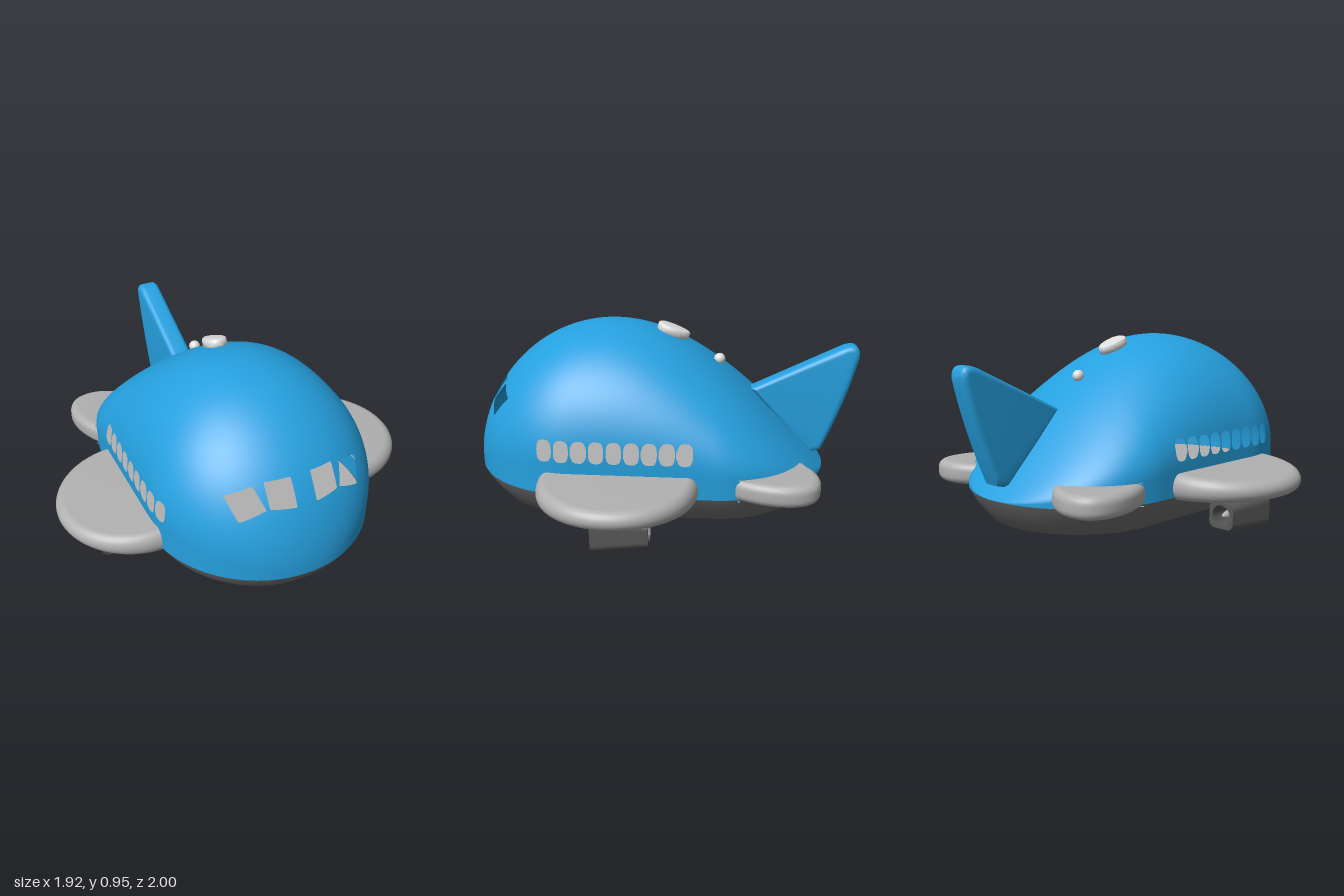
import * as THREE from 'three';
import { mergeVertices, toCreasedNormals } from 'three/addons/utils/BufferGeometryUtils.js';

const mat = (name, color, side = THREE.FrontSide) => {
  const m = new THREE.MeshStandardMaterial({ color, side });
  m.name = name;
  return m;
};
const V2 = (p) => new THREE.Vector2(p[0], p[1]);

// Front windows as convex outlines in x, y (one side, mirrored by |x|)
const cockpitPanes = [
  [[0.05, 0.545], [0.175, 0.555], [0.175, 0.662], [0.05, 0.667]],
  [[0.19, 0.555], [0.312, 0.505], [0.348, 0.61], [0.225, 0.65]],
];

// Positive on the skin, negative inside a window opening
function skin([px, y, z]) {
  const x = Math.abs(px);
  let f = 1;
  if (z > 0.5) {
    for (const pane of cockpitPanes) {
      let d = -1;
      pane.forEach((a, i) => {
        const b = pane[(i + 1) % 4], ex = b[0] - a[0], ey = b[1] - a[1];
        d = Math.max(d, (ey * (x - a[0]) - ex * (y - a[1])) / Math.hypot(ex, ey));
      });
      f = Math.min(f, d);
    }
  }
  if (x > 0.35 && y < 0.6) {
    for (let k = 0; k < 9; k++) {
      const a = Math.abs(z - 0.545 + k * 0.085) / 0.037, b = Math.abs(y - 0.422) / 0.054;
      f = Math.min(f, (Math.cbrt(a ** 3 + b ** 3) - 1) * 0.037);
    }
  }
  return f;
}

// Point on the hull: u runs nose to tail, v runs right to left over the roof
function hullPoint(u, v) {
  const z = 0.08 + 0.92 * Math.cos(Math.PI * u);
  const e = Math.max(0, Math.abs(z - 0.08) - 0.34);
  const w = Math.sqrt(Math.max(0, 0.58 ** 2 - e * e));
  const h = 0.75 * (z > 0.28
    ? Math.sqrt(Math.max(0, 1 - ((z - 0.28) / 0.72) ** 2))
    : Math.cos((Math.PI / 2) * (0.28 - z) / 1.12));
  const leg = h * 0.227, s = 1 - Math.abs(v);
  if (s < 0.2) return [Math.sign(v) * w, 0.2 + leg * s / 0.2, z];
  const th = (s - 0.2) / 0.8 * Math.PI / 2;
  return [Math.sign(v) * w * Math.cos(th), 0.2 + leg + (h - leg) * Math.sin(th), z];
}

// Hull grid with the window openings clipped out
function hullGeometry(nu = 240, nv = 140) {
  const pos = [];
  const clip = (tri) => {
    const out = [];
    tri.forEach((a, i) => {
      const b = tri[(i + 1) % 3];
      if (a.f >= 0) out.push(a.p);
      if ((a.f >= 0) !== (b.f >= 0)) {
        const t = a.f / (a.f - b.f);
        out.push(a.p.map((c, k) => c + (b.p[k] - c) * t));
      }
    });
    for (let i = 1; i + 1 < out.length; i++) pos.push(...out[0], ...out[i], ...out[i + 1]);
  };
  const grid = [];
  for (let i = 0; i <= nu; i++) {
    grid.push([]);
    for (let j = 0; j <= nv; j++) {
      const p = hullPoint(i / nu, (2 * j) / nv - 1);
      grid[i].push({ p, f: skin(p) });
    }
  }
  for (let i = 0; i < nu; i++) {
    for (let j = 0; j < nv; j++) {
      const a = grid[i][j], b = grid[i][j + 1], c = grid[i + 1][j], d = grid[i + 1][j + 1];
      clip([a, b, c]);
      clip([b, d, c]);
    }
  }
  const g = new THREE.BufferGeometry();
  g.setAttribute('position', new THREE.Float32BufferAttribute(pos, 3));
  const merged = mergeVertices(g, 1e-5);
  merged.computeVertexNormals();
  return merged;
}

// Turned profile pulled apart along z into a stadium outline
function stadium(points) {
  const g = new THREE.LatheGeometry(points.map(V2), 96);
  const p = g.attributes.position;
  for (let i = 0; i < p.count; i++) {
    const z = p.getZ(i);
    p.setZ(i, z + 0.08 + (Math.abs(z) < 1e-6 ? 0 : Math.sign(z) * 0.34));
  }
  return g;
}

// Rounded slab extruded about its middle plane
function slab(shape, thickness, bevel) {
  const g = new THREE.ExtrudeGeometry(shape, {
    depth: thickness - 2 * bevel, bevelThickness: bevel, bevelSize: bevel,
    bevelOffset: -bevel, bevelSegments: 6, curveSegments: 16,
  });
  g.translate(0, 0, bevel - thickness / 2);
  return toCreasedNormals(g, 0.7);
}

// Half disc wing, thinner toward the tip
function wingGeometry() {
  const pts = [[0, -0.066]];
  for (let i = 0; i <= 12; i++) {
    const a = -Math.PI / 2 + (Math.PI * i) / 12;
    pts.push([0.34 + 0.05 * Math.cos(a), 0.066 * Math.sin(a)]);
  }
  pts.push([0, 0.066]);
  const g = new THREE.LatheGeometry(pts.map(V2), 48, 0, Math.PI);
  const p = g.attributes.position;
  for (let i = 0; i < p.count; i++) p.setY(i, p.getY(i) * (1 - 0.8 * p.getX(i)));
  g.computeVertexNormals();
  return g;
}

// Square rounded tube, its outside narrowing toward the rear
function engineGeometry() {
  const w = 0.095, h = 0.085, r = 0.045, s = new THREE.Shape();
  s.absarc(w - r, h - r, r, 0, Math.PI / 2);
  s.absarc(r - w, h - r, r, Math.PI / 2, Math.PI);
  s.absarc(r - w, r - h, r, Math.PI, Math.PI * 1.5);
  s.absarc(w - r, r - h, r, Math.PI * 1.5, Math.PI * 2);
  s.closePath();
  s.holes.push(new THREE.Path().absarc(0, 0, 0.053, 0, Math.PI * 2, true));
  const g = new THREE.ExtrudeGeometry(s, { depth: 0.27, bevelEnabled: false, curveSegments: 16 });
  const p = g.attributes.position;
  for (let i = 0; i < p.count; i++) {
    const x = p.getX(i), y = p.getY(i);
    const k = Math.hypot(x, y) < 0.06 ? 1 : 1 - 0.25 * (1 - p.getZ(i) / 0.27);
    p.setXY(i, x * k, y * k);
  }
  g.translate(0, 0, -0.135);
  return toCreasedNormals(g, 0.7);
}

export function createModel() {
  const blue = mat('hull blue', 0x25a0df, THREE.DoubleSide);
  const grey = mat('wing grey', 0xb0b0b0);
  const dark = mat('belly grey', 0x6e6e6e);
  const charcoal = mat('engine charcoal', 0x585858);
  const pale = mat('antenna grey', 0xdedede);
  const model = new THREE.Group();
  const add = (name, geo, material, x = 0, y = 0, z = 0) => {
    const m = new THREE.Mesh(geo, material);
    m.name = name;
    m.position.set(x, y, z);
    model.add(m);
    return m;
  };

  // Body
  add('hull', hullGeometry(), blue);
  add('belly', stadium([[0.473, 0.05], [0.505, 0.085], [0.537, 0.125], [0.565, 0.17], [0.58, 0.2]]), dark);
  add('bellyBottom', stadium([[0, 0.05], [0.473, 0.05]]), dark);
  add('cabinFloor', stadium([[0.578, 0.2], [0, 0.2]]), grey);

  // Tail fin
  const fin = new THREE.Shape();
  fin.moveTo(-0.45, 0.6);
  fin.lineTo(-0.9, 0.82);
  fin.quadraticCurveTo(-1.0, 0.87, -1.0, 0.78);
  fin.quadraticCurveTo(-0.95, 0.55, -0.83, 0.27);
  fin.lineTo(-0.76, 0.25);
  fin.closePath();
  add('tailFin', slab(fin, 0.12, 0.03).rotateY(-Math.PI / 2), blue);

  // Roof antennas
  const egg = new THREE.Shape();
  egg.moveTo(0, 0.09);
  egg.bezierCurveTo(0.075, 0.09, 0.07, -0.03, 0.025, -0.075);
  egg.quadraticCurveTo(0, -0.095, -0.025, -0.075);
  egg.bezierCurveTo(-0.07, -0.03, -0.075, 0.09, 0, 0.09);
  const plate = add('roofAntenna', slab(egg, 0.045, 0.012).rotateX(Math.PI / 2), pale, 0, 0.895, -0.04);
  plate.rotation.x = -0.36;
  add('roofBeacon', new THREE.SphereGeometry(0.03, 24, 16), pale, 0, 0.748, -0.28);

  for (const s of [1, -1]) {
    const side = s > 0 ? 'left' : 'right';
    // Wing
    const wing = add(side + 'Wing', wingGeometry(), grey, s * 0.57, 0.247, 0.19);
    if (s < 0) wing.rotation.y = Math.PI;

    // Tailplane
    const t = new THREE.Shape();
    t.moveTo(s * 0.28, -0.69);
    t.bezierCurveTo(s * 0.36, -0.77, s * 0.46, -0.81, s * 0.56, -0.77);
    t.bezierCurveTo(s * 0.68, -0.71, s * 0.66, -0.5, s * 0.55, -0.35);
    t.quadraticCurveTo(s * 0.47, -0.57, s * 0.28, -0.69);
    add(side + 'Tailplane', slab(t, 0.11, 0.04).rotateX(Math.PI / 2), grey, 0, 0.247, 0);

    // Engine, spinner and pylon
    const engine = add(side + 'Engine', engineGeometry(), charcoal, s * 0.695, 0.088, 0.158);
    engine.rotation.x = 0.02;
    const spinner = new THREE.SphereGeometry(0.027, 24, 16).scale(1, 1, 4.6);
    add(side + 'Spinner', spinner, grey, s * 0.695, 0.088, 0.158);
    add(side + 'Pylon', new THREE.BoxGeometry(0.06, 0.06, 0.07), dark, s * 0.695, 0.18, 0.19);
  }
  return model;
}
